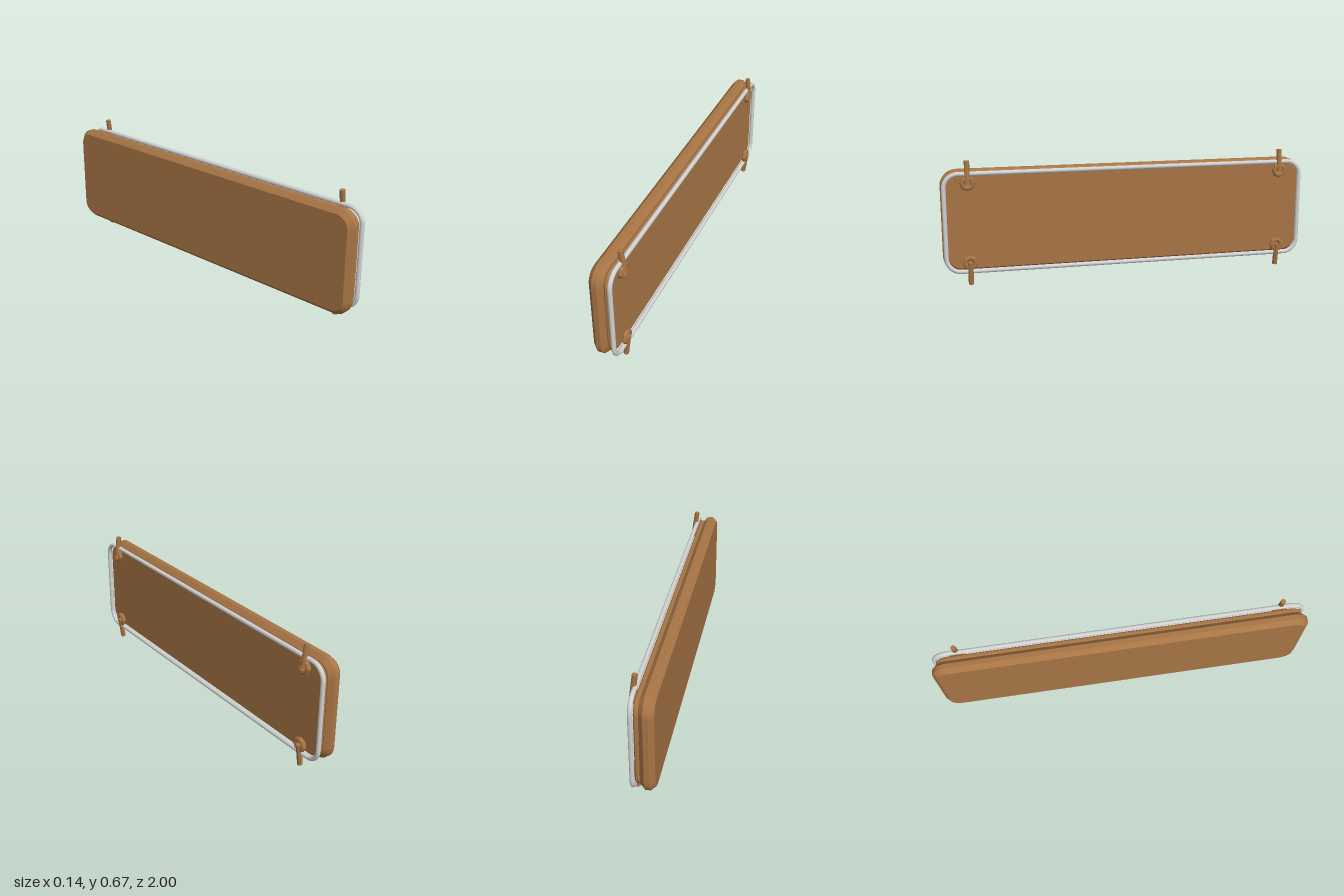
import * as THREE from 'three';
import { mergeGeometries, toCreasedNormals } from 'three/addons/utils/BufferGeometryUtils.js';

const MID_Y = 0.3335;

// Rounded rectangle, half sizes w and h, corner radius r
function roundedRect(w, h, r) {
  const s = new THREE.Shape();
  s.moveTo(-w + r, -h);
  s.lineTo(w - r, -h);
  s.absarc(w - r, -h + r, r, -Math.PI / 2, 0);
  s.lineTo(w, h - r);
  s.absarc(w - r, h - r, r, 0, Math.PI / 2);
  s.lineTo(-w + r, h);
  s.absarc(-w + r, h - r, r, Math.PI / 2, Math.PI);
  s.lineTo(-w, -h + r);
  s.absarc(-w + r, -h + r, r, Math.PI, Math.PI * 1.5);
  return s;
}

// Chamfered slab lying in the yz plane between x0 and x1
function slab(x0, x1, halfZ, halfY, radius, bevel) {
  const g = new THREE.ExtrudeGeometry(roundedRect(halfZ - bevel, halfY - bevel, radius - bevel), {
    depth: x1 - x0 - 2 * bevel, bevelThickness: bevel, bevelSize: bevel,
    bevelSegments: 1, curveSegments: 8,
  });
  g.rotateY(Math.PI / 2);
  g.translate(x0 + bevel, MID_Y, 0);
  return toCreasedNormals(g, 0.5);
}

// Closed round-bar frame: four straight bars and four quarter bends
function frameGeometry(w, h, r, bar) {
  const parts = [];
  for (const s of [-1, 1]) {
    parts.push(new THREE.CylinderGeometry(bar, bar, 2 * (w - r), 12, 1, true)
      .rotateZ(Math.PI / 2).translate(0, s * h, 0));
    parts.push(new THREE.CylinderGeometry(bar, bar, 2 * (h - r), 12, 1, true).translate(s * w, 0, 0));
  }
  [[1, 1], [-1, 1], [-1, -1], [1, -1]].forEach(([sx, sy], i) => {
    parts.push(new THREE.TorusGeometry(r, bar, 12, 10, Math.PI / 2)
      .rotateZ(i * Math.PI / 2).translate(sx * (w - r), sy * (h - r), 0));
  });
  return mergeGeometries(parts).rotateY(Math.PI / 2);
}

export function createModel() {
  const brown = new THREE.MeshStandardMaterial({ color: 0xa87545 });
  brown.name = 'brown';
  const silver = new THREE.MeshStandardMaterial({ color: 0xd2d2d2 });
  silver.name = 'silver';

  const model = new THREE.Group();
  model.name = 'panel';
  const add = (name, geometry, material, parent = model) => {
    const m = new THREE.Mesh(geometry, material);
    m.name = name;
    parent.add(m);
    return m;
  };

  // Thick board and thinner raised face
  add('board', slab(-0.071, 0.003, 1, 0.276, 0.09, 0.024), brown);
  add('raisedFace', slab(0.003, 0.027, 0.978, 0.254, 0.075, 0.006), brown);

  // Metal frame
  add('frame', frameGeometry(0.983, 0.2615, 0.075, 0.012), silver).position.set(0.039, MID_Y, 0);

  // Ring and slanted peg at each corner
  const ring = toCreasedNormals(new THREE.TorusGeometry(0.028, 0.0135, 8, 8).rotateY(Math.PI / 2), 0.6);
  const peg = new THREE.CylinderGeometry(0.014, 0.014, 0.122, 12);
  for (const sy of [-1, 1]) {
    for (const sz of [-1, 1]) {
      const fastener = new THREE.Group();
      fastener.name = 'fastener';
      fastener.position.set(0, MID_Y, sz * 0.86);
      model.add(fastener);
      add('ring', ring, brown, fastener).position.set(0.047, sy * 0.2135, 0);
      const p = add('peg', peg, brown, fastener);
      p.position.set(0.0465, sy * 0.271, 0);
      p.rotation.z = sy * 0.132;
    }
  }
  return model;
}
